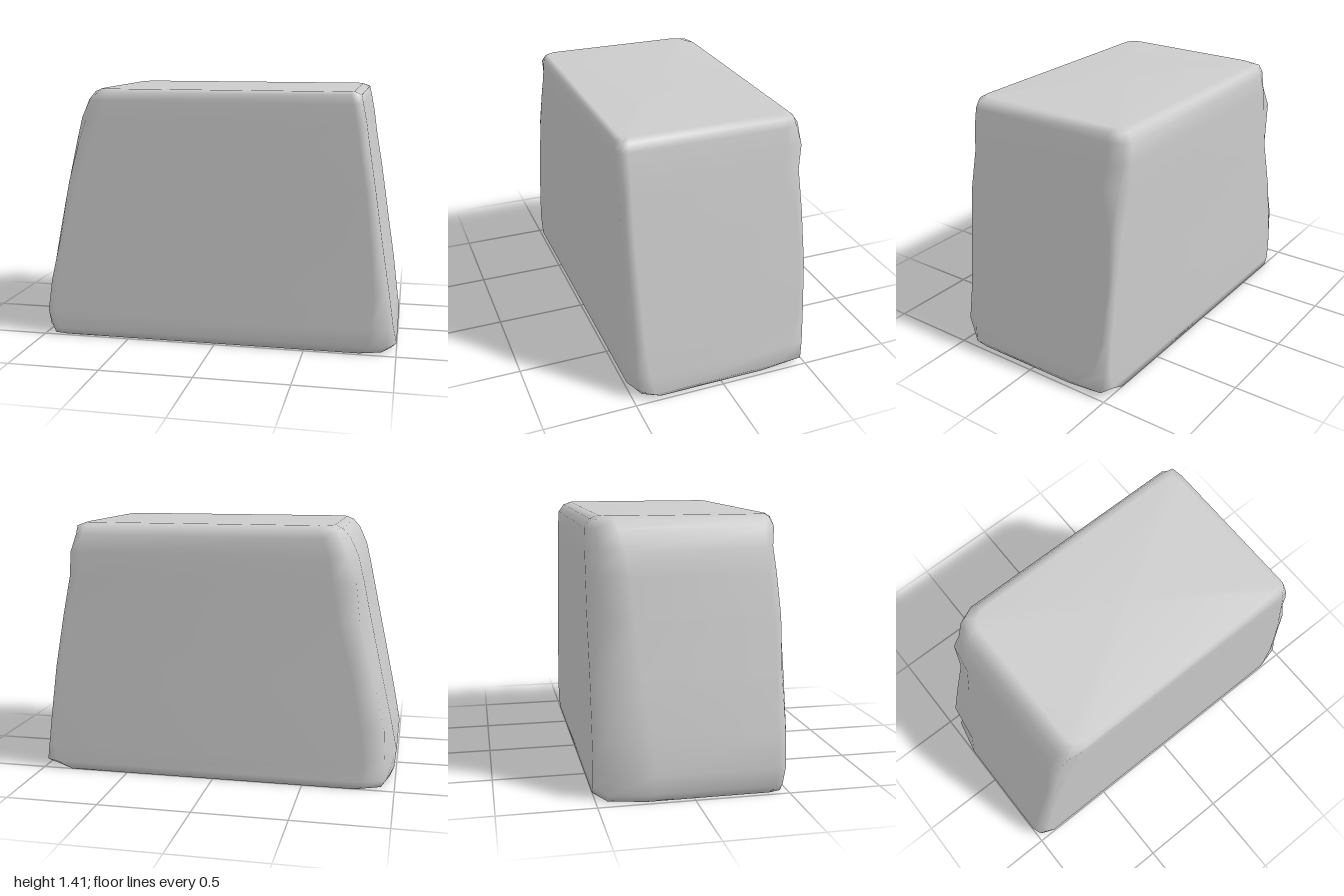
import * as THREE from 'three';

// Outline of the block at each height, with the [x, z] cut of its four corners:
// frontLeft is +x +z, then backLeft, backRight, frontRight going round.
const LEVELS = [
  { y: 0.00, x: [-0.97, 0.97], z: [-0.50, 0.48], cuts: [[0.17, 0.13], [0.14, 0.25], [0.18, 0.26], [0.10, 0.08]] },
  { y: 0.04, x: [-0.99, 1.00], z: [-0.50, 0.50], cuts: [[0.15, 0.11], [0.08, 0.20], [0.17, 0.29], [0.09, 0.07]] },
  { y: 0.14, x: [-1.00, 0.98], z: [-0.50, 0.50], cuts: [[0.12, 0.09], [0.04, 0.08], [0.17, 0.30], [0.07, 0.07]] },
  { y: 0.32, x: [-0.965, 0.955], z: [-0.50, 0.50], cuts: [[0.08, 0.07], [0.03, 0.04], [0.15, 0.28], [0.05, 0.06]] },
  { y: 0.60, x: [-0.905, 0.91], z: [-0.50, 0.50], cuts: [[0.06, 0.06], [0.03, 0.03], [0.14, 0.24], [0.05, 0.05]] },
  { y: 0.90, x: [-0.84, 0.865], z: [-0.50, 0.50], cuts: [[0.05, 0.05], [0.04, 0.05], [0.16, 0.22], [0.06, 0.05]] },
  { y: 1.12, x: [-0.795, 0.83], z: [-0.50, 0.50], cuts: [[0.05, 0.05], [0.07, 0.12], [0.15, 0.20], [0.10, 0.07]] },
  { y: 1.25, x: [-0.765, 0.81], z: [-0.50, 0.50], cuts: [[0.05, 0.05], [0.06, 0.10], [0.14, 0.18], [0.13, 0.08]] },
  { y: 1.35, x: [-0.72, 0.79], z: [-0.495, 0.50], cuts: [[0.05, 0.05], [0.06, 0.10], [0.13, 0.15], [0.12, 0.08]] },
  { y: 1.395, x: [-0.68, 0.78], z: [-0.465, 0.495], cuts: [[0.05, 0.05], [0.06, 0.08], [0.11, 0.11], [0.09, 0.07]] },
  { y: 1.412, x: [-0.64, 0.74], z: [-0.42, 0.47], cuts: [[0.04, 0.04], [0.05, 0.06], [0.08, 0.07], [0.06, 0.05]] },
];
const SIGNS = [[1, 1], [1, -1], [-1, -1], [-1, 1]];
const BULGE = [0.3, 0.2, 0.26, 0.28]; // how far each cut corner swells outwards

// Three points per corner, so every vertical edge is a soft worn bevel
function outline({ y, x, z, cuts }, level) {
  const points = [];
  SIGNS.forEach(([sx, sz], c) => {
    const px = sx > 0 ? x[1] : x[0];
    const pz = sz > 0 ? z[1] : z[0];
    const [dx, dz] = cuts[c];
    const k = BULGE[c] + 0.08 * Math.sin(level * 2.3 + c * 1.7);
    const onFrontOrBack = [px - sx * dx, y, pz];
    const onSide = [px, y, pz - sz * dz];
    const middle = [px - sx * dx * k, y, pz - sz * dz * k];
    // Walk counter-clockwise as seen from above
    if (sx * sz > 0) points.push(onFrontOrBack, middle, onSide);
    else points.push(onSide, middle, onFrontOrBack);
  });
  return points;
}

function stoneGeometry() {
  const rings = LEVELS.map(outline);
  const n = rings[0].length;
  const last = (rings.length - 1) * n;
  const positions = rings.flat(2);
  const bottom = positions.length / 3;
  positions.push(0, 0, 0, 0.05, 1.415, 0.02);
  const top = bottom + 1;

  const index = [];
  for (let j = 0; j < n; j++) {
    const k = (j + 1) % n;
    for (let i = 0; i < rings.length - 1; i++) {
      const a = i * n + j, b = i * n + k;
      index.push(a, b, b + n, a, b + n, a + n);
    }
    // Flat underside and top
    index.push(bottom, k, j, top, last + j, last + k);
  }

  const geometry = new THREE.BufferGeometry();
  geometry.setAttribute('position', new THREE.Float32BufferAttribute(positions, 3));
  geometry.setIndex(index);
  geometry.computeVertexNormals(); // smooth, dominated by the large faces
  return geometry;
}

export function createModel() {
  const group = new THREE.Group();
  group.name = 'stone';
  const block = new THREE.Mesh(stoneGeometry(), new THREE.MeshStandardMaterial({ color: 0xcccccc }));
  block.name = 'stoneBlock';
  group.add(block);
  return group;
}
